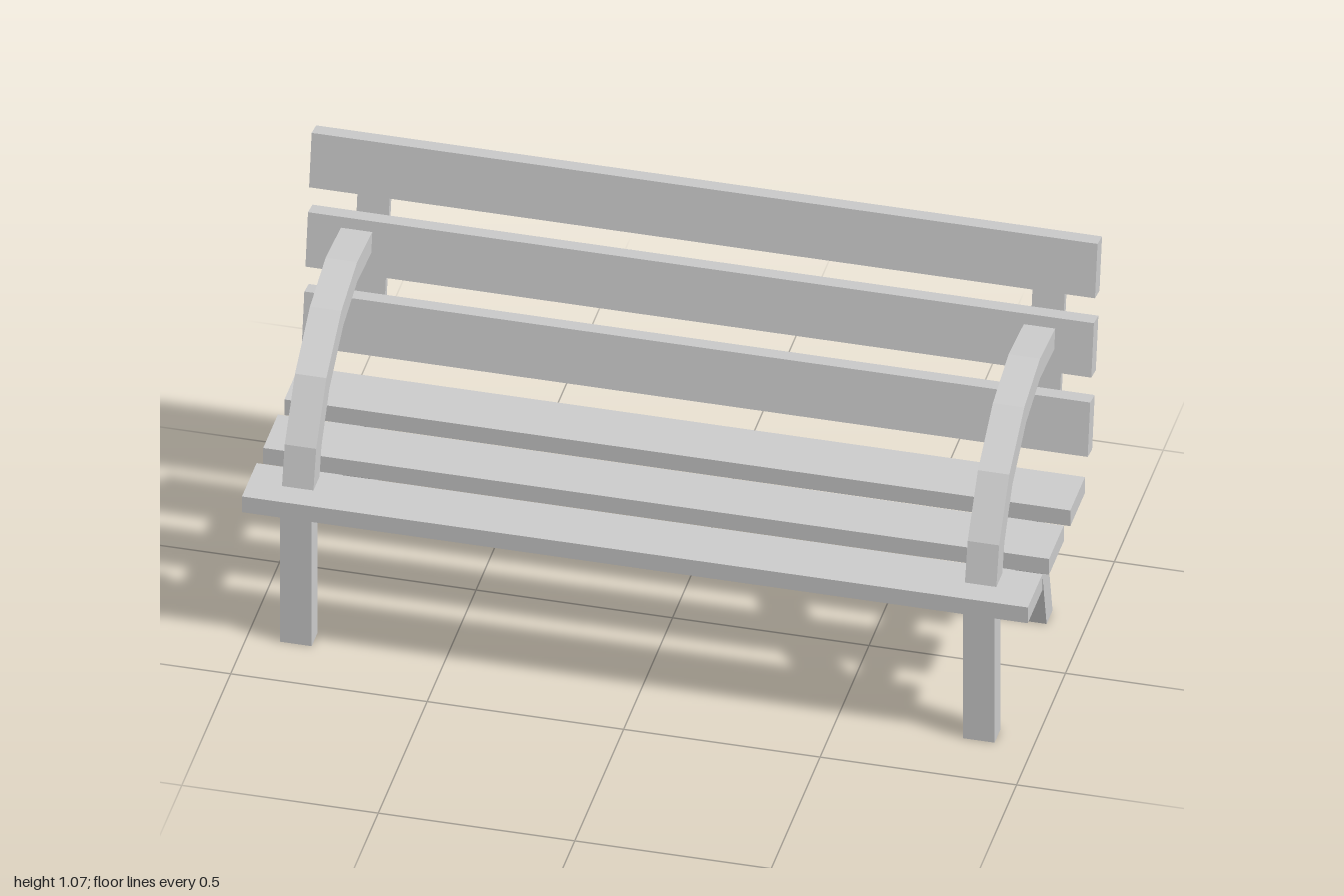
import * as THREE from 'three';

const material = new THREE.MeshStandardMaterial({ color: 0xcccccc, flatShading: true });

// Side profile given as [z, y] points, extruded across x from x0 to x1
function profile(name, points, x0, x1) {
  const shape = new THREE.Shape(points.map(([z, y]) => new THREE.Vector2(z, y)));
  const geometry = new THREE.ExtrudeGeometry(shape, { depth: x1 - x0, bevelEnabled: false });
  geometry.rotateY(-Math.PI / 2).translate(x1, 0, 0);
  const mesh = new THREE.Mesh(geometry, material);
  mesh.name = name;
  return mesh;
}

function box(name, size, position, tilt = 0) {
  const mesh = new THREE.Mesh(new THREE.BoxGeometry(...size), material);
  mesh.name = name;
  mesh.position.set(...position);
  mesh.rotation.x = tilt;
  return mesh;
}

export function createModel() {
  const bench = new THREE.Group();
  bench.name = 'bench';
  const tilt = -0.178;

  // Seat and backrest planks
  for (let i = 0; i < 3; i++) {
    bench.add(box('seatSlat', [2, 0.047, 0.15], [0, 0.4315, 0.31 - 0.2175 * i]));
    bench.add(box('backSlat', [2, 0.148, 0.047], [0, 0.566 + 0.2128 * i, -0.263 - 0.0375 * i], tilt));
  }

  const rearLeg = [[-0.197, 0], [-0.103, 0.383], [-0.103, 0.404], [-0.165, 0.404], [-0.165, 0.383], [-0.258, 0]];
  const armrest = [
    [0.317, 0.455], [0.289, 0.561], [0.184, 0.703], [0.031, 0.802], [-0.13, 0.841], [-0.286, 0.827],
    [-0.275, 0.771], [-0.133, 0.782], [0.011, 0.745], [0.153, 0.652], [0.235, 0.533], [0.255, 0.455],
  ];

  // End frames: x ranges of the front parts, the rear parts and the back support
  const sides = [
    { name: 'right', front: [-0.915, -0.835], rear: [-0.885, -0.805], back: [-0.888, -0.806] },
    { name: 'left', front: [0.823, 0.903], rear: [0.823, 0.903], back: [0.83, 0.912] },
  ];
  for (const { name, front, rear, back } of sides) {
    const frame = new THREE.Group();
    frame.name = name + 'Frame';
    const mid = ([a, b]) => (a + b) / 2;
    frame.add(
      box('frontLeg', [0.08, 0.408, 0.06], [mid(front), 0.204, 0.305]),
      profile('rearLeg', rearLeg, ...rear),
      box('crossbar', [0.08, 0.02, 0.4], [mid(rear), 0.393, 0.085]),
      profile('armrest', armrest, ...front),
      box('backSupport', [0.082, 0.498, 0.02], [mid(back), 0.7435, -0.329], tilt),
    );
    bench.add(frame);
  }
  return bench;
}
